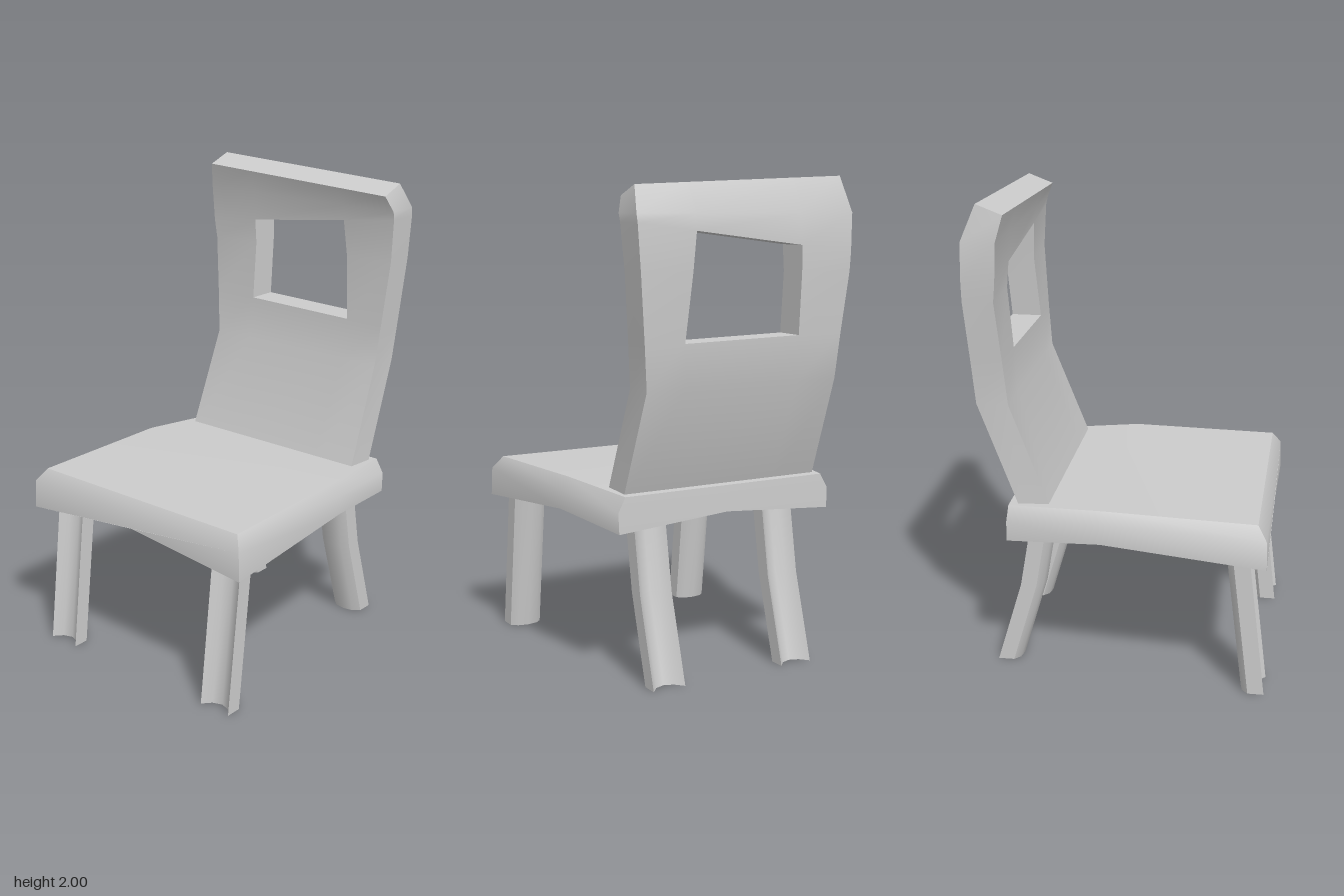
import * as THREE from 'three';
import { toCreasedNormals } from 'three/addons/utils/BufferGeometryUtils.js';

const material = new THREE.MeshStandardMaterial({ color: 0xcccccc });

// Mesh from a list of outward-facing triangles and quads ([x, y, z] corners)
function meshFromFaces(name, faces) {
  const pos = [];
  for (const [a, b, c, d] of faces) {
    pos.push(...a, ...b, ...c);
    if (d) pos.push(...a, ...c, ...d);
  }
  const geo = new THREE.BufferGeometry();
  geo.setAttribute('position', new THREE.Float32BufferAttribute(pos, 3));
  const mesh = new THREE.Mesh(toCreasedNormals(geo, 0.75), material);
  mesh.name = name;
  return mesh;
}

// Quads joining successive rings of equal length
function loft(rings) {
  const faces = [];
  for (let k = 0; k < rings.length - 1; k++) {
    const a = rings[k], b = rings[k + 1];
    a.forEach((p, i) => {
      const j = (i + 1) % a.length;
      faces.push([p, a[j], b[j], b[i]]);
    });
  }
  return faces;
}

// Seat: bevelled slab with an arched underside, lofted along x
function makeSeat() {
  const stations = [
    // x: bottom, side, top | y: centre, bottom, side, top | z: bottom, side, top
    { x: [-0.61, -0.607, -0.57], y: [0.66, 0.6, 0.72, 0.775], z: [0.572, 0.568, 0.53] },
    { x: [0.06, 0.06, 0.06], y: [0.662, 0.66, 0.74, 0.79], z: [0.555, 0.553, 0.518] },
    { x: [0.455, 0.453, 0.45], y: [0.662, 0.625, 0.71, 0.77], z: [0.495, 0.498, 0.465] },
  ];
  const rings = stations.map(({ x, y, z }) => {
    const half = (s) => [0, 1, 2].map((i) => [x[i], y[i + 1], s * z[i]]);
    return [[x[0], y[0], 0], ...half(-1), ...half(1).reverse()];
  });
  const faces = loft(rings);
  for (const cap of [[0, 1, 2, 5], [0, 5, 6], [2, 3, 4, 5]]) {
    faces.push(cap.map((i) => rings[2][i]));
    faces.push(cap.map((i) => rings[0][i]).reverse());
  }
  return meshFromFaces('seat', faces);
}

// Backrest: bent, slightly crooked panel with a four-cornered window
function makeBackrest() {
  const rows = [
    // y at +z edge, y at -z edge, x front, x rear, four column z values
    [0.74, 0.74, 0.27, 0.4, 0.45, 0.25, -0.25, -0.45],
    [1.19, 1.19, 0.445, 0.575, 0.44, 0.27, -0.25, -0.435],
    [1.363, 1.378, 0.46, 0.588, 0.455, 0.28, -0.245, -0.452],
    [1.64, 1.62, 0.48, 0.605, 0.48, 0.255, -0.245, -0.478],
    [1.82, 1.7, 0.471, 0.605, 0.493, 0.24, -0.245, -0.484],
    [1.855, 1.855, 0.463, 0.6, 0.495, 0.24, -0.245, -0.49],
    [1.96, 2.0, 0.435, 0.54, 0.47, 0.24, -0.245, -0.47],
  ];
  const top = rows.length - 1;
  const grid = (xIndex, topDrop) => rows.map((r, i) => r.slice(4).map((z) => {
    const y = THREE.MathUtils.lerp(r[0], r[1], (r[4] - z) / (r[4] - r[7]));
    return [r[xIndex], y - (i === top ? topDrop : 0), z];
  }));
  const F = grid(2, 0.04), R = grid(3, 0);
  const faces = [];
  const window = (i, j) => j === 1 && (i === 2 || i === 3);
  for (let i = 0; i < top; i++) {
    // front and rear surfaces
    for (let j = 0; j < 3; j++) {
      if (window(i, j)) continue;
      faces.push([R[i][j], R[i][j + 1], R[i + 1][j + 1], R[i + 1][j]]);
      faces.push([F[i][j + 1], F[i][j], F[i + 1][j], F[i + 1][j + 1]]);
    }
    // outer edges and window sides
    const plusZ = [0], minusZ = [3];
    if (window(i, 1)) { plusZ.push(2); minusZ.push(1); }
    for (const j of plusZ) faces.push([F[i][j], R[i][j], R[i + 1][j], F[i + 1][j]]);
    for (const j of minusZ) faces.push([R[i][j], F[i][j], F[i + 1][j], R[i + 1][j]]);
  }
  // top and bottom edges, window sill and lintel
  const ledge = (i, j) => [F[i][j], R[i][j], R[i][j + 1], F[i][j + 1]];
  for (let j = 0; j < 3; j++) {
    faces.push(ledge(top, j), ledge(0, j).reverse());
  }
  faces.push(ledge(2, 1), ledge(4, 1).reverse());
  return meshFromFaces('backrest', faces);
}

// Leg: grooved section swept up a path of [x, y]; dir is the x side of the groove
function makeLeg(name, path, z, dir) {
  const section = [
    [0.05, 0.072], [0.014, 0.04], [0, 0], [0.014, -0.04], [0.05, -0.072],
    [-0.017, -0.072], [-0.042, -0.045], [-0.05, 0], [-0.042, 0.045], [-0.017, 0.072],
  ];
  const ring = section.map(([u, w]) => [u * dir, w]);
  if (dir < 0) ring.reverse();
  const rings = path.map(([x, y]) => ring.map(([u, w]) => [x + u, y, z + w]));
  const faces = loft(rings);
  const outline = ring.map(([u, w]) => new THREE.Vector2(u, -w));
  for (const tri of THREE.ShapeUtils.triangulateShape(outline, [])) {
    faces.push(tri.map((i) => rings[0][i]).reverse());
  }
  return meshFromFaces(name, faces);
}

export function createModel() {
  const chair = new THREE.Group();
  chair.name = 'chair';
  chair.add(makeSeat(), makeBackrest());

  // Straight legs under the seat's front, curved legs under the backrest
  const frontPath = [[-0.562, 0], [-0.48, 0.68]];
  const rearPath = [[0.49, 0], [0.383, 0.36], [0.328, 0.68]];
  for (const [frontZ, rearZ] of [[0.447, 0.32], [-0.427, -0.288]]) {
    chair.add(makeLeg('frontLeg', frontPath, frontZ, -1));
    chair.add(makeLeg('rearLeg', rearPath, rearZ, 1));
  }
  return chair;
}
